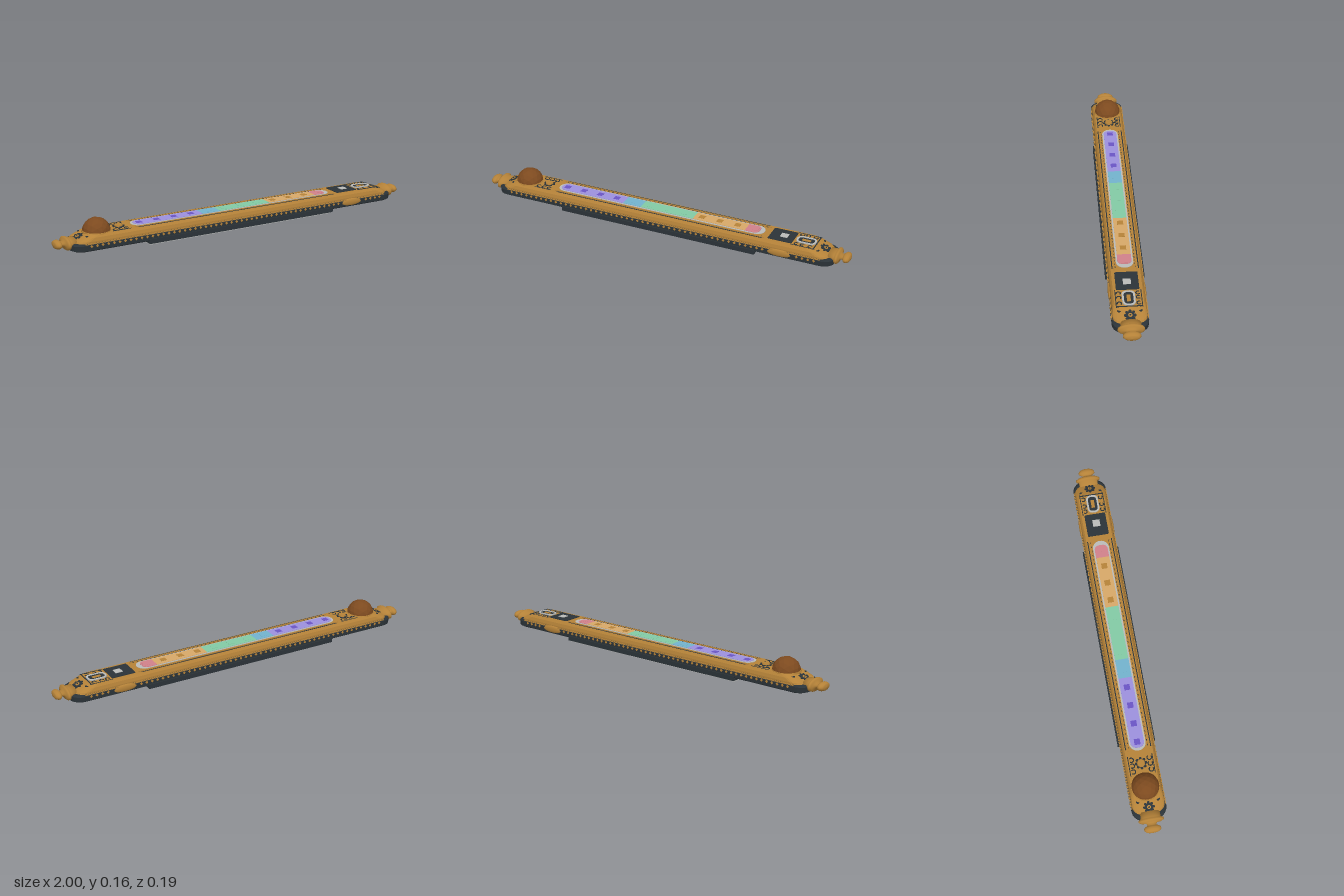
import * as THREE from 'three';

const mat = (name, color, opts = {}) => {
  const m = new THREE.MeshStandardMaterial({ color, ...opts });
  m.name = name;
  return m;
};

// Rounded rectangle; rl and rr are the corner radii of the left and right ends
function roundRect(x0, x1, hz, rl, rr = rl) {
  const s = new THREE.Shape();
  s.moveTo(x0 + rl, -hz);
  s.lineTo(x1 - rr, -hz);
  if (rr) s.absarc(x1 - rr, -hz + rr, rr, -Math.PI / 2, 0);
  s.lineTo(x1, hz - rr);
  if (rr) s.absarc(x1 - rr, hz - rr, rr, 0, Math.PI / 2);
  s.lineTo(x0 + rl, hz);
  if (rl) s.absarc(x0 + rl, hz - rl, rl, Math.PI / 2, Math.PI);
  s.lineTo(x0, -hz + rl);
  if (rl) s.absarc(x0 + rl, -hz + rl, rl, Math.PI, Math.PI * 1.5);
  return s;
}

// Closed solid lofted through rounded rectangles [y, halfX, halfZ, radius]
function loft(rings) {
  const per = 6, pos = [], idx = [], n = 4 * per;
  for (const [y, hx, hz, r] of rings) {
    for (let q = 0; q < 4; q++) {
      const cx = (q === 0 || q === 3 ? 1 : -1) * (hx - r);
      const cz = (q < 2 ? 1 : -1) * (hz - r);
      for (let k = 0; k < per; k++) {
        const a = (q + k / (per - 1)) * Math.PI / 2;
        pos.push(cx + r * Math.cos(a), y, cz + r * Math.sin(a));
      }
    }
  }
  for (let j = 0; j < rings.length - 1; j++) {
    for (let i = 0; i < n; i++) {
      const a = j * n + i, b = j * n + (i + 1) % n;
      idx.push(a, a + n, b, b, a + n, b + n);
    }
  }
  const top = (rings.length - 1) * n;
  for (let i = 1; i < n - 1; i++) {
    idx.push(0, i, i + 1);
    idx.push(top, top + i + 1, top + i);
  }
  const g = new THREE.BufferGeometry();
  g.setAttribute('position', new THREE.Float32BufferAttribute(pos, 3));
  g.setIndex(idx);
  const flat = g.toNonIndexed();
  flat.computeVertexNormals();
  return flat;
}

export function createModel() {
  const root = new THREE.Group();
  root.name = 'lightBar';
  const brass = mat('brass', 0xb58238);
  const dark = mat('charcoal', 0x2b3338);
  const bronze = mat('bronze', 0x7d4a1f, { flatShading: true });
  const grey = mat('paleGrey', 0xb9bab8);
  const violet = mat('violet', 0x9c90dc);
  const blue = mat('blue', 0x72b2cc);
  const green = mat('green', 0x82c9a4);
  const amber = mat('amber', 0xd6a768);
  const rose = mat('rose', 0xd0808a);
  const indigo = mat('indigo', 0x6a55c4);

  const add = (name, geo, material, x = 0, y = 0, z = 0) => {
    const m = new THREE.Mesh(geo, material);
    m.name = name;
    m.position.set(x, y, z);
    root.add(m);
    return m;
  };
  const box = (name, w, h, d, material, x, y, z) =>
    add(name, new THREE.BoxGeometry(w, h, d), material, x, y, z);
  const plate = (name, shape, y, h, material, x = 0, z = 0) => {
    const g = new THREE.ExtrudeGeometry(shape, { depth: h, bevelEnabled: false, curveSegments: 10 });
    g.rotateX(-Math.PI / 2);
    return add(name, g, material, x, y, z);
  };
  const TOP = 0.094;

  // Dark lower shell and sloped brass casing
  add('lowerShell', loft([
    [0.018, 0.915, 0.077, 0.05], [0.024, 0.928, 0.086, 0.055],
    [0.05, 0.93, 0.087, 0.055], [0.058, 0.918, 0.083, 0.05]]), dark);
  add('upperCasing', loft([
    [0.05, 0.912, 0.082, 0.05], [0.066, 0.898, 0.082, 0.05],
    [0.082, 0.862, 0.078, 0.045], [TOP, 0.832, 0.07, 0.04]]), brass);

  // Mounting tray with side lips and a pad underneath
  box('trayFloor', 1.07, 0.012, 0.186, dark, 0, 0.014, 0);
  box('mountPad', 1.06, 0.008, 0.16, grey, 0, 0.004, 0);
  for (const s of [-1, 1]) {
    box('trayLip', 1.07, 0.024, 0.006, dark, 0, 0.02, s * 0.0915);

    // Ornamental side rail of small brass studs
    box('sideRail', 1.74, 0.004, 0.004, brass, 0, 0.056, s * 0.0848);
    for (let i = 0; i < 58; i++) {
      const x = -0.84 + i * 1.68 / 57;
      if (Math.abs(x - 0.66) < 0.07) continue;
      const stud = box('sideStud', 0.011, 0.011, 0.003, brass, x, 0.045, s * 0.087);
      stud.rotation.z = Math.PI / 4;
    }

    // Oval side boss
    const boss = add('sideBoss', new THREE.SphereGeometry(1, 24, 10), brass, 0.66, 0.043, s * 0.083);
    boss.scale.set(0.068, 0.019, 0.008);

    // Long grooves and beaded edge beside the window
    box('topGroove', 1.14, 0.002, 0.005, dark, -0.01, TOP, s * 0.063);
    box('topRib', 1.16, 0.005, 0.006, brass, -0.01, TOP + 0.001, s * 0.054);
    for (let i = 0; i < 48; i++)
      box('edgeBead', 0.009, 0.002, 0.003, dark, -0.57 + i * 1.12 / 47, TOP, s * 0.048);

    // End finial: an oval flange, neck and rounded tip
    const pts = [[0, 0.895], [0.05, 0.895], [0.05, 0.925], [0.063, 0.932], [0.063, 0.94],
      [0.052, 0.947], [0.026, 0.951], [0.022, 0.962], [0.033, 0.967], [0.042, 0.974],
      [0.042, 0.984], [0.034, 0.994], [0.022, 0.998], [0, 1]];
    const g = new THREE.LatheGeometry(pts.map(p => new THREE.Vector2(p[0], p[1])), 28);
    g.scale(0.5, 1, 1);
    g.rotateZ(-Math.PI / 2);
    if (s < 0) g.rotateY(Math.PI);
    add('endFinial', g, brass, 0, 0.053, 0);
  }

  // Window frame and coloured diffuser segments
  plate('windowFrame', roundRect(-0.592, 0.555, 0.042, 0.041), TOP - 0.002, 0.004, grey);
  const segments = [[-0.578, -0.21, violet], [-0.21, -0.11, blue], [-0.11, 0.18, green],
    [0.18, 0.46, amber], [0.46, 0.53, rose]];
  segments.forEach(([a, b, m], i) => plate('diffuser',
    roundRect(a, b, 0.034, i === 0 ? 0.03 : 0, i === 4 ? 0.025 : 0), TOP + 0.001, 0.003, m));

  // Square emitters along the window
  const emitterMats = [indigo, indigo, indigo, indigo, blue, green, green, green, brass, brass, brass, rose];
  emitterMats.forEach((m, i) =>
    box('emitter', 0.03, 0.002, 0.03, m, -0.548 + i * 0.0958, TOP + 0.004, 0));

  // Sensor panel with a pale square
  plate('sensorPanel', roundRect(-0.062, 0.062, 0.055, 0.006), TOP - 0.001, 0.004, dark, 0.65);
  box('sensorChip', 0.038, 0.003, 0.038, grey, 0.658, TOP + 0.0035, 0);

  // Oval port with a pale rim and dark filigree around it
  plate('portBase', roundRect(-0.045, 0.045, 0.026, 0.02), TOP - 0.001, 0.003, dark, 0.772);
  const rim = roundRect(-0.05, 0.05, 0.031, 0.025);
  rim.holes.push(roundRect(-0.041, 0.041, 0.022, 0.017));
  plate('portRim', rim, TOP - 0.001, 0.006, grey, 0.772);
  box('portBar', 0.045, 0.003, 0.018, brass, 0.772, TOP + 0.002, 0);

  // Curled ornaments in the corners of the end panels
  const curl = (x, z, r) => {
    const t = add('curl', new THREE.TorusGeometry(r, 0.0035, 6, 14, Math.PI * 1.5), dark, x, TOP - 0.001, z);
    t.rotation.set(-Math.PI / 2, 0, z > 0 ? 0.6 : 2.4);
  };
  for (const s of [-1, 1]) {
    for (const x of [0.735, 0.765, 0.805]) curl(x, s * 0.046, 0.01);
    for (const x of [-0.695, -0.665, -0.635]) curl(x, s * 0.045, 0.011);
    box('panelEdge', 0.12, 0.002, 0.004, dark, 0.772, TOP, s * 0.061);
    box('panelEdge', 0.1, 0.002, 0.004, dark, -0.665, TOP, s * 0.061);
    // Screw heads on the sloped ends
    for (const e of [-1, 1])
      add('screw', new THREE.CylinderGeometry(0.009, 0.009, 0.006, 12), dark, e * 0.845, 0.084, s * 0.05);
  }
  box('panelEdge', 0.006, 0.002, 0.12, dark, 0.826, TOP, 0);

  // Petalled rosettes, tilted to lie on the sloped ends
  const rosette = (x, y, r, tilt) => {
    const g = new THREE.Group();
    g.name = 'rosette';
    const part = (name, geo, m, px, py, pz) => {
      const o = new THREE.Mesh(geo, m);
      o.name = name;
      o.position.set(px, py, pz);
      g.add(o);
    };
    part('disc', new THREE.CylinderGeometry(r * 0.72, r * 0.72, 0.003, 20), dark, 0, 0, 0);
    for (let i = 0; i < 8; i++) {
      const a = i * Math.PI / 4;
      part('petal', new THREE.CylinderGeometry(r * 0.24, r * 0.24, 0.003, 10), dark,
        r * 0.8 * Math.cos(a), 0, r * 0.8 * Math.sin(a));
    }
    part('hub', new THREE.CylinderGeometry(r * 0.36, r * 0.36, 0.006, 14), brass, 0, 0.001, 0);
    part('hubCentre', new THREE.CylinderGeometry(r * 0.15, r * 0.15, 0.008, 10), dark, 0, 0.001, 0);
    g.position.set(x, y, 0);
    g.rotation.z = tilt;
    root.add(g);
  };
  rosette(0.871, 0.0795, 0.028, -0.37);
  rosette(-0.876, 0.0775, 0.028, 0.37);
  rosette(-0.658, TOP + 0.001, 0.03, 0);
  add('smallKnob', new THREE.CylinderGeometry(0.018, 0.022, 0.012, 16), brass, -0.658, TOP + 0.004, 0);

  // Faceted dome on a collar
  add('domeCollar', new THREE.CylinderGeometry(0.072, 0.075, 0.02, 24), brass, -0.775, 0.086, 0);
  add('dome', new THREE.IcosahedronGeometry(0.07, 2), bronze, -0.775, 0.088, 0);

  // Screws in the underside
  for (const x of [-0.8, -0.62, 0.62, 0.8])
    for (const z of [-0.045, 0.045])
      add('undersideScrew', new THREE.CylinderGeometry(0.01, 0.01, 0.003, 12), dark, x, 0.0175, z);

  return root;
}
